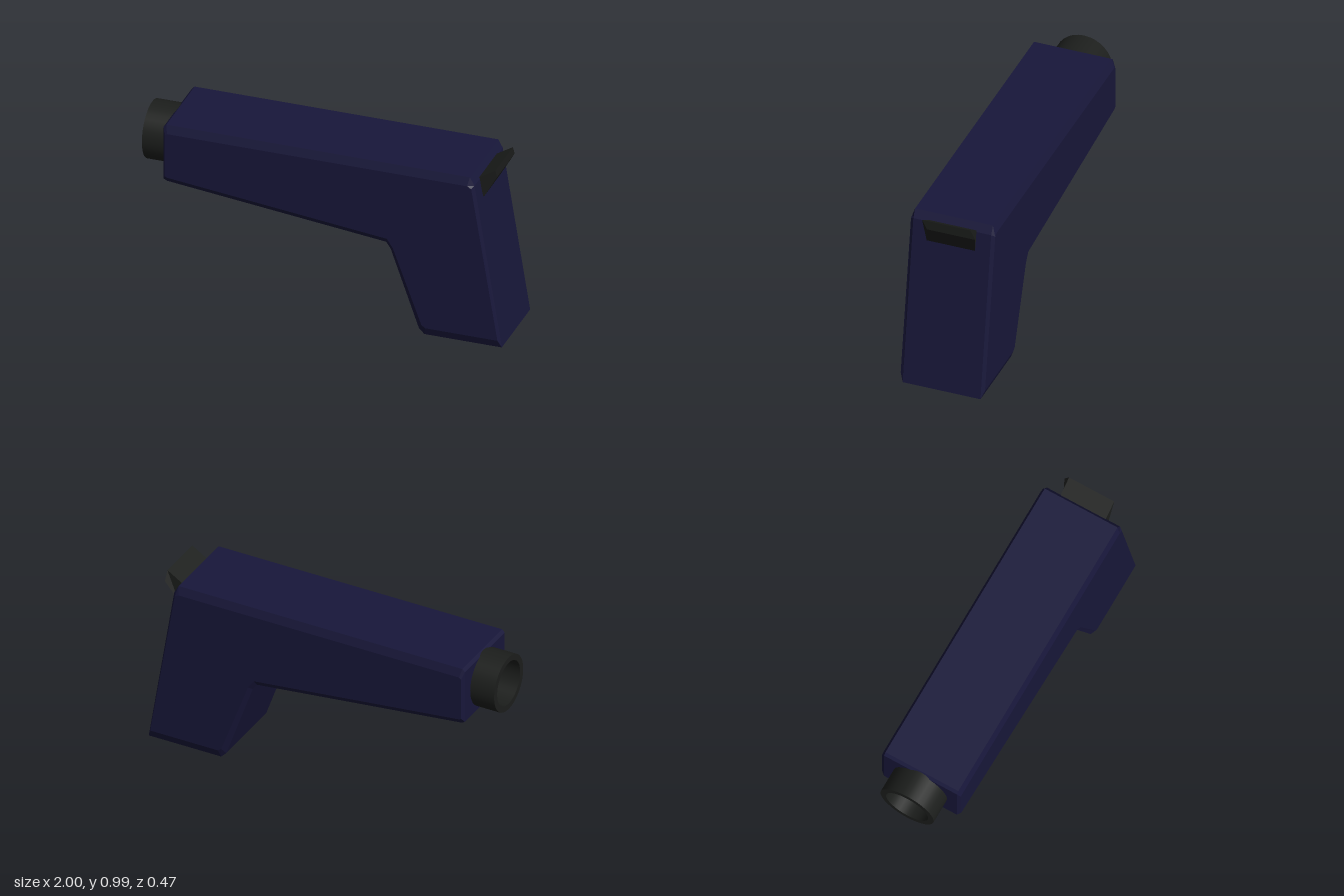
import * as THREE from 'three';

const navy = new THREE.MeshStandardMaterial({ color: 0x18173a, flatShading: true });
const black = new THREE.MeshStandardMaterial({ color: 0x1c1e1c });
const blackFlat = new THREE.MeshStandardMaterial({ color: 0x1c1e1c, flatShading: true });

// Skins a stack of [x, y, z] rings (counter-clockwise, running back to front) and caps both ends
function loft(rings) {
  const pos = [];
  const tri = (a, b, c) => pos.push(...a, ...b, ...c);
  const n = rings[0].length;
  for (let r = 0; r < rings.length - 1; r++) {
    for (let i = 0; i < n; i++) {
      const j = (i + 1) % n;
      const a = rings[r][i], b = rings[r][j], c = rings[r + 1][j], d = rings[r + 1][i];
      tri(a, b, c);
      tri(a, c, d);
    }
  }
  const back = rings[0], front = rings[rings.length - 1];
  const outline = front.map(([x, y]) => new THREE.Vector2(x, y));
  for (const [a, b, c] of THREE.ShapeUtils.triangulateShape(outline, [])) {
    tri(front[a], front[b], front[c]);
    tri(back[a], back[c], back[b]);
  }
  const geometry = new THREE.BufferGeometry();
  geometry.setAttribute('position', new THREE.Float32BufferAttribute(pos, 3));
  geometry.computeVertexNormals();
  return geometry;
}

function add(group, name, geometry, material) {
  const mesh = new THREE.Mesh(geometry, material);
  mesh.name = name;
  group.add(mesh);
  return mesh;
}

export function createModel() {
  const model = new THREE.Group();
  model.name = 'handheldBlaster';

  // Body and grip: one profile with chamfered side faces
  const outer = [
    [0.57, 0], [0.995, 0], [0.845, 0.925], [0.82, 0.97], [-0.845, 0.97], [-0.86, 0.955],
    [-0.86, 0.65], [-0.84, 0.64], [0.36, 0.505], [0.385, 0.47], [0.54, 0.03],
  ];
  const inner = [
    [0.58, 0.045], [0.977, 0.045], [0.833, 0.912], [0.81, 0.925], [-0.835, 0.925], [-0.848, 0.915],
    [-0.848, 0.675], [-0.835, 0.668], [0.37, 0.533], [0.403, 0.485], [0.56, 0.06],
  ];
  const at = (profile, z) => profile.map(([x, y]) => [x, y, z]);
  add(model, 'bodyAndGrip',
    loft([at(inner, -0.234), at(outer, -0.216), at(outer, 0.216), at(inner, 0.234)]), navy);

  // Muzzle: hollow ring, lathed from separate walls so its edges stay sharp
  const muzzle = new THREE.Group();
  muzzle.name = 'muzzle';
  const wall = (name, a, b) => add(muzzle, name,
    new THREE.LatheGeometry([new THREE.Vector2(...a), new THREE.Vector2(...b)], 32), black);
  wall('muzzleOuterWall', [0.158, 0], [0.158, 0.15]);
  wall('muzzleRim', [0.158, 0.15], [0.125, 0.15]);
  wall('muzzleBore', [0.125, 0.15], [0.125, 0]);
  muzzle.rotation.z = Math.PI / 2;
  muzzle.position.set(-0.85, 0.808, 0);
  model.add(muzzle);

  // Rear thumb lever: wedge with one long edge shifted sideways
  const lever = [[0.865, 0.82, 0], [0.93, 0.935, -0.027], [0.93, 0.987, 0], [0.838, 0.93, 0]];
  const leverEnd = (z) => lever.map(([x, y, shift]) => [x, y, z + shift]);
  add(model, 'thumbLever', loft([leverEnd(-0.134), leverEnd(0.134)]), blackFlat);

  return model;
}
